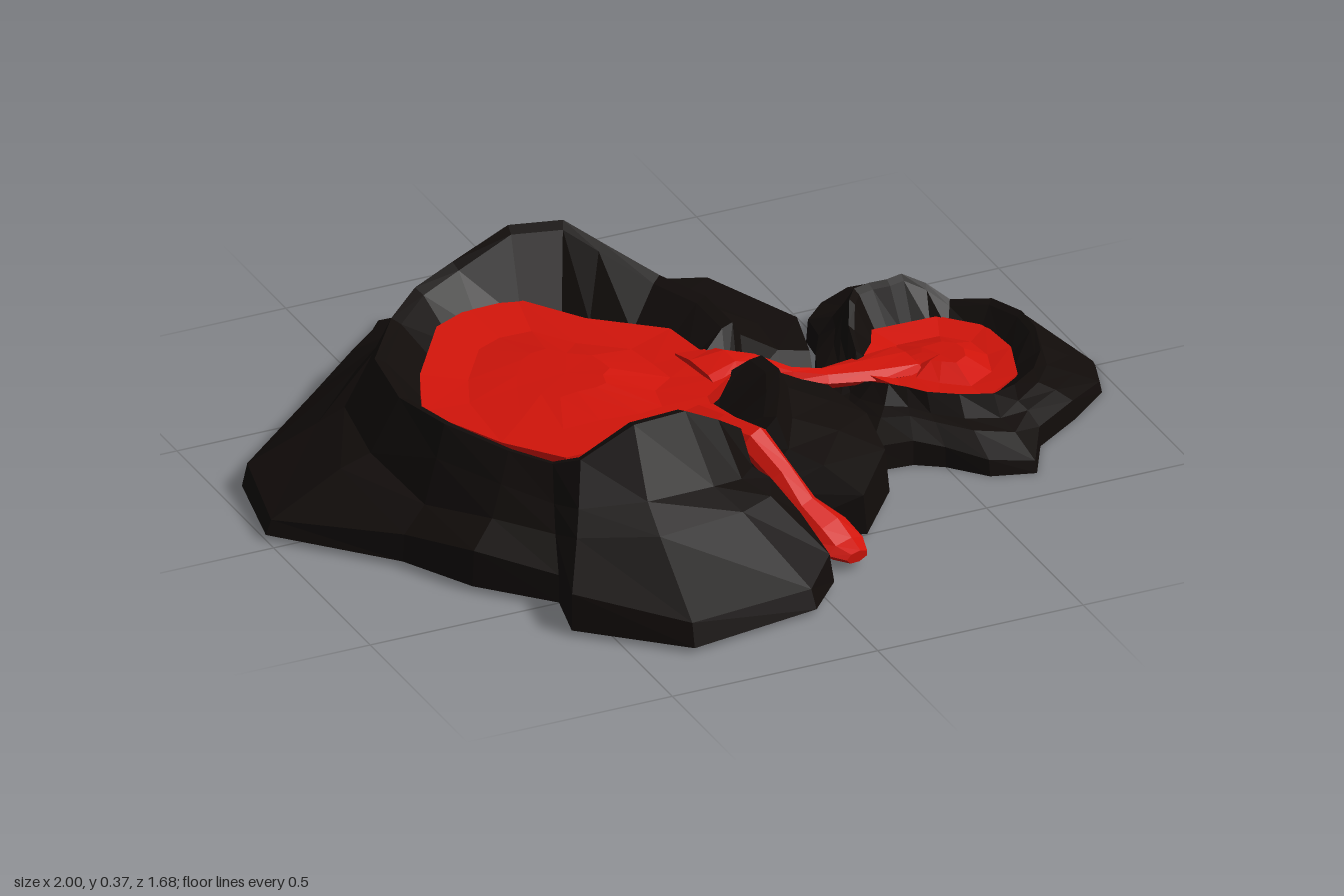
import * as THREE from 'three';

const rockMat = new THREE.MeshStandardMaterial({ color: 0x110c0a, flatShading: true });
const lavaMat = new THREE.MeshStandardMaterial({ color: 0xd0140a, flatShading: true });

// Skin a stack of closed rings of Vector3, capped at both ends
function loft(rings) {
  const n = rings[0].length, pos = [], idx = [];
  const average = r => r.reduce((s, p) => s.add(p), new THREE.Vector3()).divideScalar(n);
  rings.forEach(r => r.forEach(p => pos.push(p.x, p.y, p.z)));
  const last = (rings.length - 1) * n, c0 = rings.length * n;
  [rings[0], rings[rings.length - 1]].forEach(r => { const c = average(r); pos.push(c.x, c.y, c.z); });
  for (let j = 0; j < n; j++) {
    const k = (j + 1) % n;
    for (let i = 0; i < last; i += n) idx.push(i + j, i + n + j, i + n + k, i + j, i + n + k, i + k);
    idx.push(j, k, c0, last + j, c0 + 1, last + k);
  }
  const g = new THREE.BufferGeometry();
  g.setAttribute('position', new THREE.Float32BufferAttribute(pos, 3));
  g.setIndex(idx);
  const flat = g.toNonIndexed();
  flat.computeVertexNormals();
  return flat;
}

function part(name, geometry, material) {
  const m = new THREE.Mesh(geometry, material);
  m.name = name;
  return m;
}

// Small repeatable unevenness
const rough = (j, k) => Math.sin(j * 12.9 + k * 7.3);

// Crater wall; each row is foot x, foot z, edge height, crest x, crest y, crest z
function craterWall(rows, center, baseY, floorY) {
  const stage = fn => rows.map((r, j) => fn(
    new THREE.Vector3(r[0], r[2], r[1]), new THREE.Vector3(r[3], r[4], r[5]), j));
  const slope = (t, h, k) => stage((foot, crest, j) => {
    const p = foot.clone().lerp(crest, t + 0.07 * rough(j, k));
    p.y = foot.y + (crest.y - foot.y) * (h + 0.12 * rough(j, k + 1));
    return p;
  });
  const inward = (t, y) => stage((foot, crest) => {
    const p = crest.clone().lerp(center, t);
    p.y = y(crest);
    return p;
  });
  return loft([
    stage(foot => foot.clone().setY(baseY)),
    stage((foot, crest) => foot.clone().lerp(crest, 0.04).setY(foot.y)),
    slope(0.5, 0.28, 1),
    slope(0.84, 0.6, 4),
    stage((foot, crest) => crest),
    inward(0.06, c => c.y - 0.01),
    inward(0.27, () => floorY),
  ]);
}

// Lava sheet with a gently uneven surface, from [x, z] outline points
function lavaPool(outline, center, y, depth) {
  const ring = (t, h, k) => outline.map(([x, z], j) =>
    new THREE.Vector3(x, y, z).lerp(center, t).setY(y + h + 0.008 * rough(j, k)));
  return loft([ring(0, -depth, 1), ring(0, 0, 2), ring(0.35, -0.008, 3), ring(0.7, 0.006, 5)]);
}

// Lava stream; each row is x, y, z, half width, half thickness
function lavaStream(rows) {
  const pts = rows.map(r => new THREE.Vector3(r[0], r[1], r[2]));
  const up = new THREE.Vector3(0, 1, 0);
  return loft(rows.map((r, i) => {
    const t = pts[Math.min(i + 1, pts.length - 1)].clone().sub(pts[Math.max(i - 1, 0)]).normalize();
    const side = t.clone().cross(up).normalize();
    const normal = side.clone().cross(t);
    return Array.from({ length: 7 }, (_, j) => {
      const a = j / 7 * Math.PI * 2;
      return pts[i].clone().addScaledVector(side, Math.cos(a) * r[3])
        .addScaledVector(normal, Math.sin(a) * r[4]);
    });
  }));
}

export function createModel() {
  const group = new THREE.Group();
  group.name = 'lavaCraters';

  // Large crater
  const bigCenter = new THREE.Vector3(-0.27, 0.2, -0.08);
  const bigRows = [
    [-1, -0.04, 0.05, -0.68, 0.29, -0.03],
    [-0.95, -0.27, 0.07, -0.66, 0.3, -0.2],
    [-0.68, -0.49, 0.08, -0.53, 0.28, -0.39],
    [-0.5, -0.67, 0.06, -0.43, 0.29, -0.48],
    [-0.35, -0.84, 0.02, -0.32, 0.31, -0.52],
    [-0.16, -0.78, 0.05, -0.18, 0.365, -0.53],
    [-0.05, -0.62, 0.14, -0.06, 0.365, -0.5],
    [0.05, -0.58, 0.15, 0, 0.33, -0.43],
    [0.3, -0.51, 0.14, 0.09, 0.28, -0.32],
    [0.41, -0.27, 0.13, 0.14, 0.28, -0.19],
    [0.35, -0.08, 0.15, 0.15, 0.27, -0.07],
    [0.32, 0.02, 0.09, 0.13, 0.17, 0],
    [0.31, 0.1, 0.16, 0.15, 0.26, 0.08],
    [0.34, 0.24, 0.15, 0.15, 0.27, 0.17],
    [0.33, 0.36, 0.12, 0.1, 0.28, 0.28],
    [0.2, 0.52, 0.11, 0.05, 0.27, 0.37],
    [0.07, 0.47, 0.05, -0.02, 0.2, 0.37],
    [0.03, 0.55, 0.12, -0.06, 0.29, 0.42],
    [0.04, 0.69, 0.08, -0.12, 0.33, 0.43],
    [-0.05, 0.79, 0.06, -0.2, 0.37, 0.43],
    [-0.37, 0.84, 0.07, -0.33, 0.37, 0.44],
    [-0.58, 0.65, 0.1, -0.45, 0.3, 0.42],
    [-0.55, 0.52, 0.08, -0.49, 0.27, 0.36],
    [-0.69, 0.37, 0.1, -0.56, 0.28, 0.28],
    [-0.78, 0.2, 0.08, -0.65, 0.3, 0.14],
  ];
  group.add(part('largeCraterRock', craterWall(bigRows, bigCenter, 0.015, 0.19), rockMat));
  group.add(part('largeLavaPool', lavaPool([
    [-0.62, -0.04], [-0.55, -0.2], [-0.42, -0.39], [-0.32, -0.44], [-0.2, -0.44], [-0.1, -0.3],
    [0.05, -0.18], [0.07, -0.05], [0.08, 0.07], [-0.01, 0.14], [-0.04, 0.26], [-0.13, 0.28],
    [-0.28, 0.27], [-0.42, 0.28], [-0.52, 0.16],
  ], bigCenter, 0.23, 0.04), lavaMat));

  // Small crater
  const smallCenter = new THREE.Vector3(0.63, 0.1, 0);
  const smallRows = [
    [0.31, 0.03, 0.06, 0.42, 0.1, 0.01],
    [0.36, -0.08, 0.07, 0.45, 0.13, -0.07],
    [0.41, -0.2, 0.07, 0.47, 0.15, -0.15],
    [0.46, -0.29, 0.06, 0.5, 0.18, -0.21],
    [0.47, -0.37, 0.06, 0.53, 0.18, -0.25],
    [0.53, -0.43, 0.06, 0.57, 0.18, -0.26],
    [0.59, -0.42, 0.09, 0.61, 0.185, -0.25],
    [0.67, -0.45, 0.07, 0.65, 0.185, -0.26],
    [0.76, -0.38, 0.08, 0.7, 0.16, -0.24],
    [0.78, -0.26, 0.08, 0.74, 0.13, -0.2],
    [0.91, -0.17, 0.07, 0.81, 0.15, -0.13],
    [0.95, -0.06, 0.05, 0.84, 0.155, -0.04],
    [1, 0, 0.015, 0.84, 0.15, 0.03],
    [0.96, 0.12, 0.03, 0.82, 0.13, 0.1],
    [0.85, 0.21, 0.05, 0.77, 0.13, 0.17],
    [0.73, 0.29, 0.05, 0.7, 0.13, 0.22],
    [0.67, 0.4, 0.03, 0.64, 0.13, 0.24],
    [0.57, 0.37, 0.04, 0.57, 0.13, 0.21],
    [0.5, 0.29, 0.05, 0.51, 0.13, 0.17],
    [0.44, 0.25, 0.06, 0.48, 0.13, 0.13],
    [0.34, 0.24, 0.06, 0.45, 0.13, 0.1],
    [0.28, 0.09, 0.05, 0.43, 0.12, 0.06],
  ];
  group.add(part('smallCraterRock', craterWall(smallRows, smallCenter, 0.002, 0.085), rockMat));
  group.add(part('smallLavaPool', lavaPool([
    [0.44, 0.02], [0.46, -0.06], [0.51, -0.12], [0.54, -0.18], [0.7, -0.18], [0.78, -0.1],
    [0.79, 0.01], [0.75, 0.13], [0.64, 0.2], [0.55, 0.14], [0.49, 0.08],
  ], smallCenter, 0.108, 0.03), lavaMat));

  // Stream between the pools and stream down the front
  group.add(part('connectingStream', lavaStream([
    [0.02, 0.215, 0.01, 0.09, 0.02], [0.1, 0.215, 0, 0.06, 0.025], [0.16, 0.19, 0, 0.035, 0.03],
    [0.25, 0.145, 0.005, 0.018, 0.025], [0.34, 0.115, -0.01, 0.03, 0.022],
    [0.45, 0.105, -0.02, 0.055, 0.02], [0.56, 0.1, -0.03, 0.07, 0.015],
  ]), lavaMat));
  group.add(part('frontStream', lavaStream([
    [-0.07, 0.22, 0.2, 0.06, 0.02], [-0.05, 0.23, 0.3, 0.045, 0.03], [-0.015, 0.235, 0.39, 0.04, 0.035],
    [0.025, 0.17, 0.44, 0.035, 0.03], [0.055, 0.1, 0.49, 0.042, 0.035],
    [0.09, 0.06, 0.55, 0.06, 0.04], [0.11, 0.04, 0.6, 0.055, 0.025], [0.12, 0.035, 0.64, 0.03, 0.015],
  ]), lavaMat));

  return group;
}
